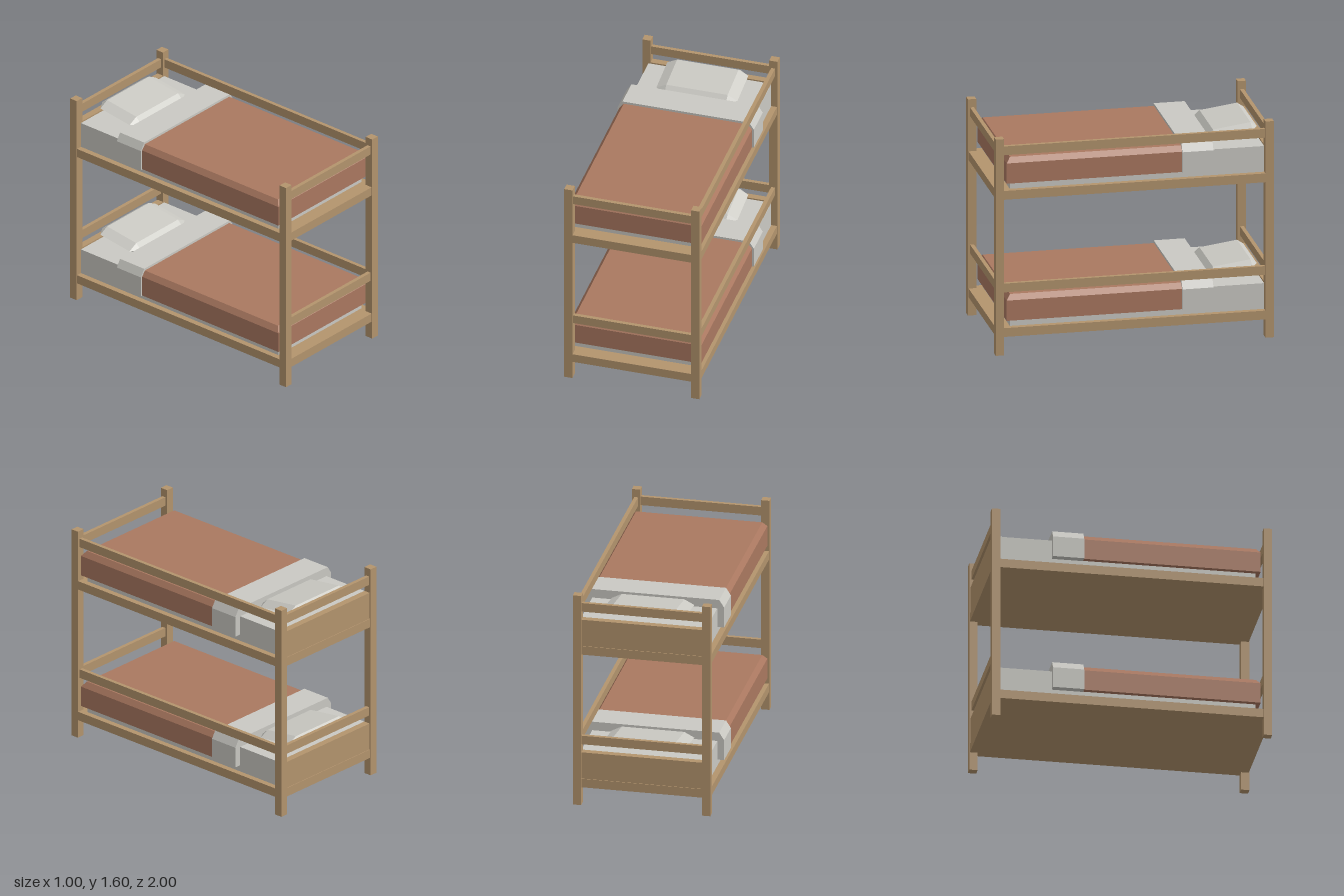
import * as THREE from 'three';
import { ConvexGeometry } from 'three/addons/geometries/ConvexGeometry.js';

const mat = (name, color) => {
  const m = new THREE.MeshStandardMaterial({ color });
  m.name = name;
  return m;
};

export function createModel() {
  const wood = mat('wood', 0xb3946d);
  const blanketRed = mat('blanket terracotta', 0xaa7860);
  const linen = mat('linen', 0xcac9c3);

  const add = (parent, name, geometry, material) => {
    const mesh = new THREE.Mesh(geometry, material);
    mesh.name = name;
    parent.add(mesh);
    return mesh;
  };

  // Box given by its extents on each axis
  const box = (parent, name, material, [x0, x1], [y0, y1], [z0, z1]) =>
    add(parent, name, new THREE.BoxGeometry(x1 - x0, y1 - y0, z1 - z0)
      .translate((x0 + x1) / 2, (y0 + y1) / 2, (z0 + z1) / 2), material);

  // Cover whose upper edges slope inwards above the shoulder height
  const cover = (halfX, [y0, shoulder, y1], [z0, z1], insetX, insetFront) => {
    const g = new THREE.BoxGeometry(2, 2, 2, 1, 2, 1).toNonIndexed();
    const p = g.attributes.position;
    for (let i = 0; i < p.count; i++) {
      const level = Math.round(p.getY(i));
      const top = level === 1;
      const front = p.getZ(i) > 0;
      p.setXYZ(i,
        Math.sign(p.getX(i)) * (halfX - (top ? insetX : 0)),
        [y0, shoulder, y1][level + 1],
        front ? z1 - (top ? insetFront : 0) : z0);
    }
    g.computeVertexNormals();
    return g;
  };

  // Faceted pillow: octagonal seam with a raised rectangle above and below, head end tilted up
  const pillow = () => {
    const pts = [];
    const put = (x, y, z) => pts.push(new THREE.Vector3(x, 0.443 + y - 0.136 * (z + 0.755), z));
    for (const sx of [-1, 1]) for (const sz of [-1, 1]) {
      put(sx * 0.297, 0, -0.755 + sz * 0.135);
      put(sx * 0.225, 0, -0.755 + sz * 0.18);
      put(sx * 0.225, 0.037, -0.755 + sz * 0.135);
      put(sx * 0.225, -0.031, -0.755 + sz * 0.135);
    }
    return new ConvexGeometry(pts);
  };

  const model = new THREE.Group();
  model.name = 'bunkBed';

  // Four corner posts
  for (const sx of [-1, 1]) for (const sz of [-1, 1]) {
    const post = add(model, 'post', new THREE.BoxGeometry(0.06, 1.6, 0.06), wood);
    post.position.set(sx * 0.465, 0.8, sz * 0.97);
  }

  // Two identical bunks
  [['lowerBunk', 0], ['upperBunk', 1.015]].forEach(([name, y]) => {
    const bunk = new THREE.Group();
    bunk.name = name;
    bunk.position.y = y;
    model.add(bunk);

    // Frame
    box(bunk, 'bedBase', wood, [-0.492, 0.492], [0.135, 0.2], [-0.995, 0.995]);
    box(bunk, 'headboard', wood, [-0.45, 0.45], [0.19, 0.4], [-0.99, -0.94]);
    box(bunk, 'headRail', wood, [-0.45, 0.45], [0.46, 0.525], [-0.985, -0.957]);
    box(bunk, 'footRail', wood, [-0.45, 0.45], [0.46, 0.525], [0.957, 0.985]);
    box(bunk, 'guardRail', wood, [0.45, 0.478], [0.46, 0.525], [-0.95, 0.95]);

    // Bedding
    box(bunk, 'mattress', linen, [-0.45, 0.45], [0.198, 0.39], [-0.942, 0.89]);
    add(bunk, 'blanket', cover(0.485, [0.25, 0.4, 0.438], [-0.36, 0.92], 0.03, 0.03), blanketRed);
    add(bunk, 'foldedSheet', cover(0.499, [0.248, 0.4, 0.455], [-0.565, -0.342], 0.035, 0), linen);
    add(bunk, 'pillow', pillow(), linen);
  });

  return model;
}
